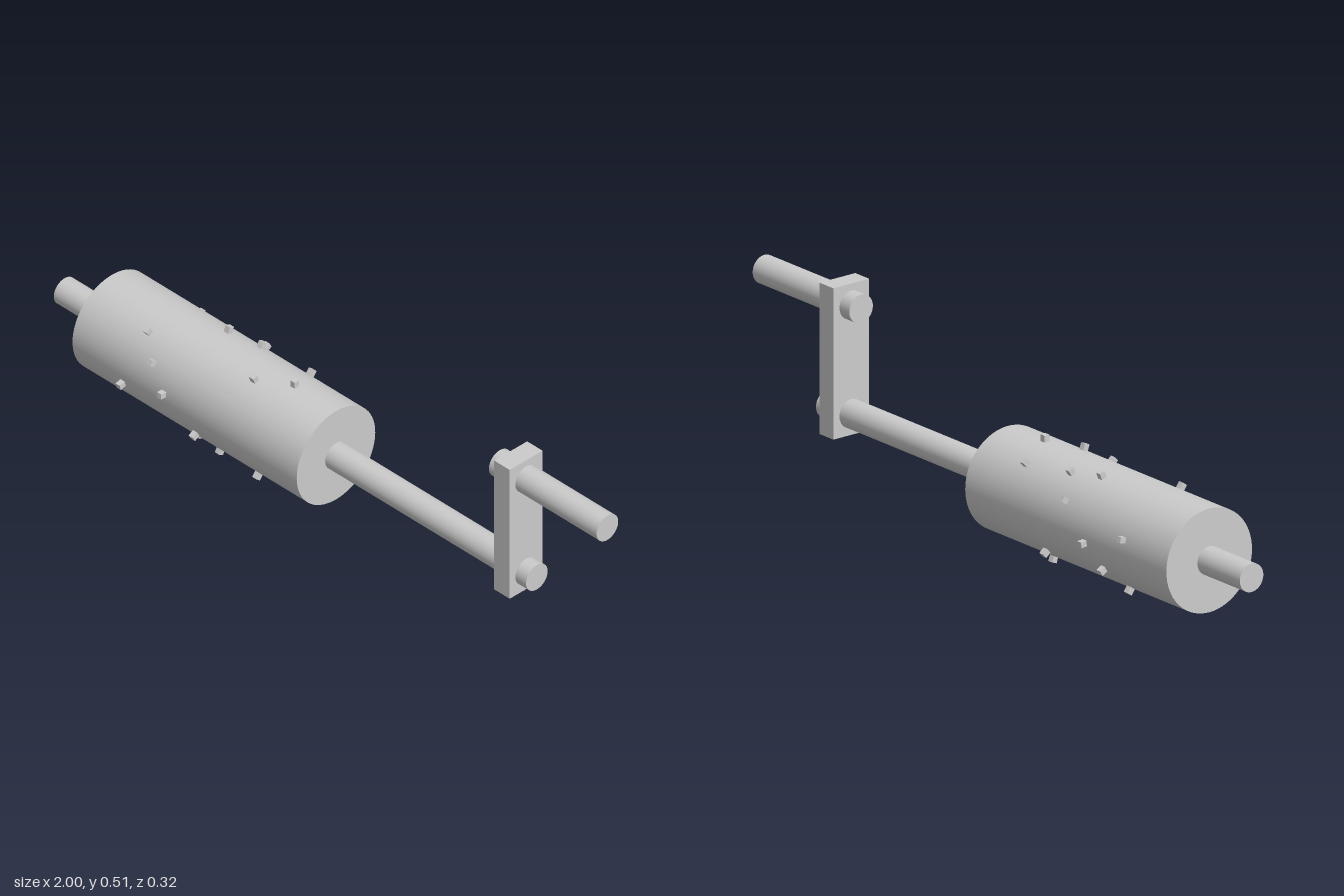
import * as THREE from 'three';

const AXIS_Y = 0.16;

export function createModel() {
  const model = new THREE.Group();
  model.name = 'crankedPinCylinder';
  const material = new THREE.MeshStandardMaterial({ color: 0xcccccc });

  const add = (name, geometry, parent = model) => {
    const mesh = new THREE.Mesh(geometry, material);
    mesh.name = name;
    parent.add(mesh);
    return mesh;
  };

  // Round bar lying along x between two ends
  const bar = (name, radius, x0, x1, y) => {
    const geometry = new THREE.CylinderGeometry(radius, radius, x1 - x0, 64);
    geometry.rotateZ(-Math.PI / 2);
    add(name, geometry).position.set((x0 + x1) / 2, y, 0);
  };

  bar('drum', 0.142, -0.826, 0, AXIS_Y);
  bar('shaft', 0.039, -1, 0.74, AXIS_Y);
  bar('handle', 0.039, 0.603, 1, 0.457);

  // Flat arm joining shaft and handle
  add('crankArm', new THREE.BoxGeometry(0.057, 0.414, 0.119)).position.set(0.672, 0.308, 0);

  // Opposed pairs of pins: [x, degrees from straight up towards the front]
  const pairs = [
    [-0.645, 105], [-0.605, 35], [-0.547, 60], [-0.49, 85], [-0.447, 160], [-0.39, 120],
    [-0.35, 150], [-0.29, 48], [-0.25, 20], [-0.19, 140], [-0.152, 0],
  ];
  const pins = new THREE.Group();
  pins.name = 'pins';
  pins.position.y = AXIS_Y;
  model.add(pins);
  const pinGeometry = new THREE.BoxGeometry(0.016, 0.03, 0.016);
  pinGeometry.translate(0, 0.145, 0);
  for (const [x, degrees] of pairs) {
    for (const turn of [0, 180]) {
      const pin = add('pin', pinGeometry, pins);
      pin.position.x = x;
      pin.rotation.x = THREE.MathUtils.degToRad(degrees + turn);
    }
  }

  return model;
}
